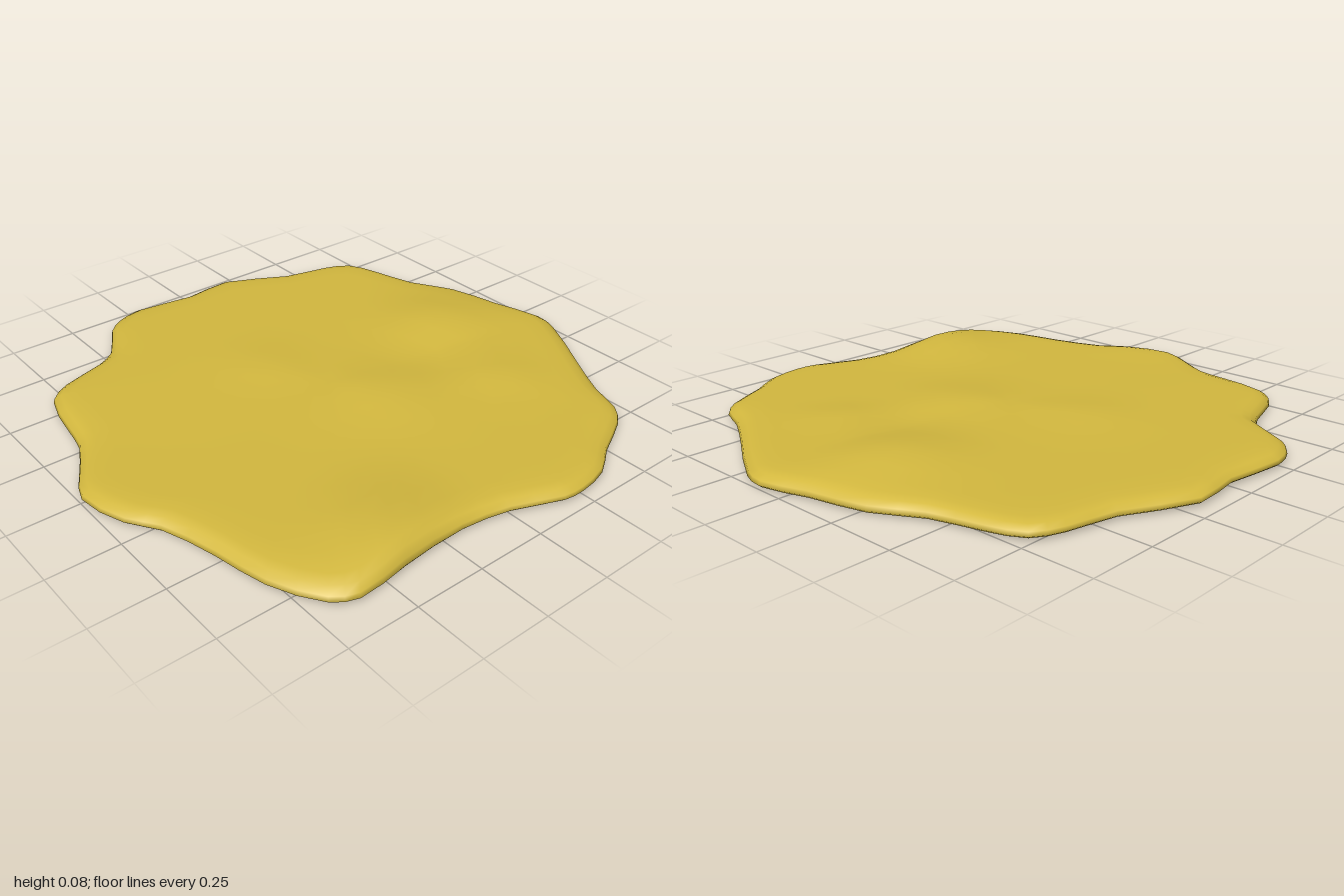
import * as THREE from 'three';
import { mergeVertices } from 'three/addons/utils/BufferGeometryUtils.js';

// Wavy outline as x, z pairs, running from the back round by the left
const OUTLINE = [
  [0.10, -1.0], [0.19, -0.98], [0.45, -0.83], [0.61, -0.74], [0.72, -0.70], [0.78, -0.64], [0.86, -0.48],
  [0.93, -0.37], [0.955, -0.25], [0.95, -0.17], [0.88, 0], [0.85, 0.18], [0.865, 0.42], [0.885, 0.61],
  [0.84, 0.69], [0.67, 0.78], [0.48, 0.82], [0.28, 0.88], [0.18, 0.95], [0, 0.995], [-0.12, 0.94],
  [-0.26, 0.865], [-0.37, 0.845], [-0.57, 0.80], [-0.63, 0.72], [-0.68, 0.56], [-0.73, 0.48], [-0.88, 0.39],
  [-0.93, 0.33], [-0.96, 0.23], [-0.93, 0], [-0.95, -0.19], [-0.83, -0.43], [-0.79, -0.61], [-0.74, -0.71],
  [-0.62, -0.76], [-0.44, -0.81], [-0.28, -0.90], [-0.07, -0.95],
];
// Gentle swells and dips on the top: x, z, height, radius
const BUMPS = [
  [0.74, 0.40, 0.034, 0.2], [-0.10, -0.62, 0.034, 0.2], [0.15, -0.10, 0.022, 0.2],
  [0.30, -0.50, 0.018, 0.14], [-0.25, 0.10, 0.012, 0.16], [-0.1, 0.75, -0.006, 0.25],
  [0.15, -0.42, -0.008, 0.12],
];
// Cross-section from lower rim to middle: scale, share of the top height
const SECTION = [
  [0.99, 0], [1, 0.18], [0.995, 0.5], [0.97, 0.82], [0.935, 0.97], [0.87, 1], [0.78, 1],
  [0.68, 1], [0.57, 1], [0.46, 1], [0.35, 1], [0.24, 1], [0.12, 1], [0, 1],
];

// The underside tips up slightly toward the back and the sides
const baseHeight = (x, z) => 0.003 + 0.008 * (1 - z) / 2 + 0.008 * x * x + (z > 0.8 ? (z - 0.8) * 0.05 : 0);

function topHeight(x, z) {
  let y = 0.056;
  for (const [bx, bz, h, r] of BUMPS) y += h * Math.exp(-((x - bx) ** 2 + (z - bz) ** 2) / (r * r));
  return y;
}

function makeGeometry(positions, index) {
  const g = new THREE.BufferGeometry();
  g.setAttribute('position', new THREE.Float32BufferAttribute(positions, 3));
  g.setIndex(index);
  const merged = mergeVertices(g, 1e-5);
  merged.computeVertexNormals();
  return merged;
}

export function createModel() {
  const group = new THREE.Group();
  group.name = 'flatSlab';
  const material = new THREE.MeshStandardMaterial({ color: 0xd4b93f });
  const curve = new THREE.CatmullRomCurve3(OUTLINE.map(([x, z]) => new THREE.Vector3(x, 0, z)), true);
  const n = OUTLINE.length * 2;
  const rim = Array.from({ length: n }, (_, i) => curve.getPoint(i / n));

  // Rounded edge and undulating top, built ring by ring
  const top = [], topIndex = [];
  SECTION.forEach(([s, f], k) => {
    rim.forEach((p, i) => {
      const x = p.x * s, z = p.z * s, base = baseHeight(x, z);
      top.push(x, base + (topHeight(x, z) - base) * f, z);
      if (k === SECTION.length - 1) return;
      const a = k * n + i, a2 = k * n + (i + 1) % n;
      topIndex.push(a, a + n, a2);
      if (k < SECTION.length - 2) topIndex.push(a2, a + n, a2 + n);
    });
  });
  const upper = new THREE.Mesh(makeGeometry(top, topIndex), material);
  upper.name = 'topAndEdge';

  // Nearly flat underside as a fan
  const under = [0, baseHeight(0, 0), 0], underIndex = [];
  rim.forEach((p, i) => {
    const x = p.x * 0.99, z = p.z * 0.99;
    under.push(x, baseHeight(x, z), z);
    underIndex.push(0, i + 1, (i + 1) % n + 1);
  });
  const lower = new THREE.Mesh(makeGeometry(under, underIndex), material);
  lower.name = 'underside';

  group.add(upper, lower);
  return group;
}
